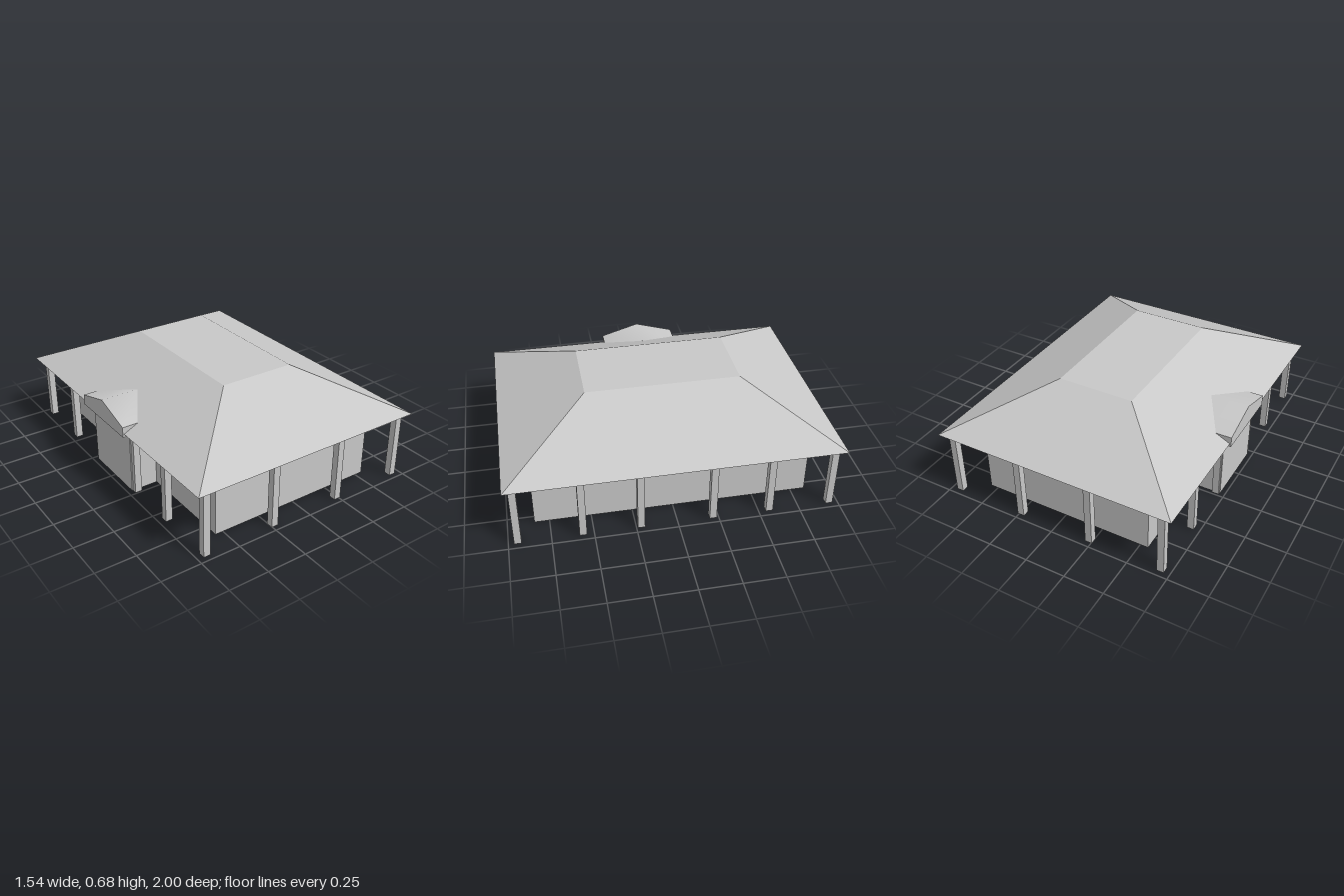
import * as THREE from 'three';
import { toCreasedNormals } from 'three/addons/utils/BufferGeometryUtils.js';

const EAVE = 0.42, RIDGE = 0.68;

export function createModel() {
  const house = new THREE.Group();
  house.name = 'house';
  const grey = new THREE.MeshStandardMaterial({ color: 0xc8c8c8, side: THREE.DoubleSide });
  grey.name = 'plain grey';

  const add = (name, geometry, parent = house) => {
    const mesh = new THREE.Mesh(geometry, grey);
    mesh.name = name;
    parent.add(mesh);
    return mesh;
  };
  const group = (name) => {
    const g = new THREE.Group();
    g.name = name;
    house.add(g);
    return g;
  };

  // Hipped roof with a flat top: a box whose upper corners move inwards
  const box = new THREE.BoxGeometry(1.53, RIDGE - EAVE, 2).translate(0, (RIDGE + EAVE) / 2, 0);
  const pos = box.attributes.position;
  for (let i = 0; i < pos.count; i++) {
    if (pos.getY(i) > 0.5) {
      pos.setX(i, Math.sign(pos.getX(i)) * 0.24);
      pos.setZ(i, Math.sign(pos.getZ(i)) * 0.472);
    }
  }
  const roof = box.toNonIndexed();
  roof.computeVertexNormals();
  add('roof', roof);

  // Thin outer walls around an open floor, with a bay on the -x side
  const outline = [
    [0.55, 0.84], [0.55, -0.84], [-0.55, -0.84], [-0.55, -0.225],
    [-0.72, -0.225], [-0.72, 0.212], [-0.55, 0.212], [-0.55, 0.84],
  ];
  const walls = group('walls');
  outline.forEach(([x, z], i) => {
    const [nx, nz] = outline[(i + 1) % outline.length];
    const wall = add('wall', new THREE.PlaneGeometry(Math.hypot(nx - x, nz - z), EAVE), walls);
    wall.position.set((x + nx) / 2, EAVE / 2, (z + nz) / 2);
    wall.rotation.y = Math.atan2(-(nz - z), nx - x);
  });

  // Posts under the eaves
  const posts = group('posts');
  const postGeometry = new THREE.BoxGeometry(0.043, EAVE, 0.043);
  const addPost = (x, z) => add('post', postGeometry, posts).position.set(x, EAVE / 2, z);
  for (const side of [-1, 1]) {
    for (const z of [-0.945, -0.565, -0.216, 0.22, 0.565, 0.945]) addPost(side * 0.692, z);
    for (const x of [-0.232, 0.237]) addPost(x, side * 0.945);
  }

  // Low gabled dormer over the bay, softly shaded across its ridge
  const gable = new THREE.Shape([
    [-0.236, 0.4], [0.25, 0.4], [0.25, 0.465], [0.007, 0.536], [-0.236, 0.465],
  ].map(([x, y]) => new THREE.Vector2(x, y)));
  const dormer = new THREE.ExtrudeGeometry(gable, { depth: 0.24, bevelEnabled: false });
  dormer.rotateY(Math.PI / 2).translate(-0.773, 0, 0);
  add('dormer', toCreasedNormals(dormer, 0.7));

  return house;
}
